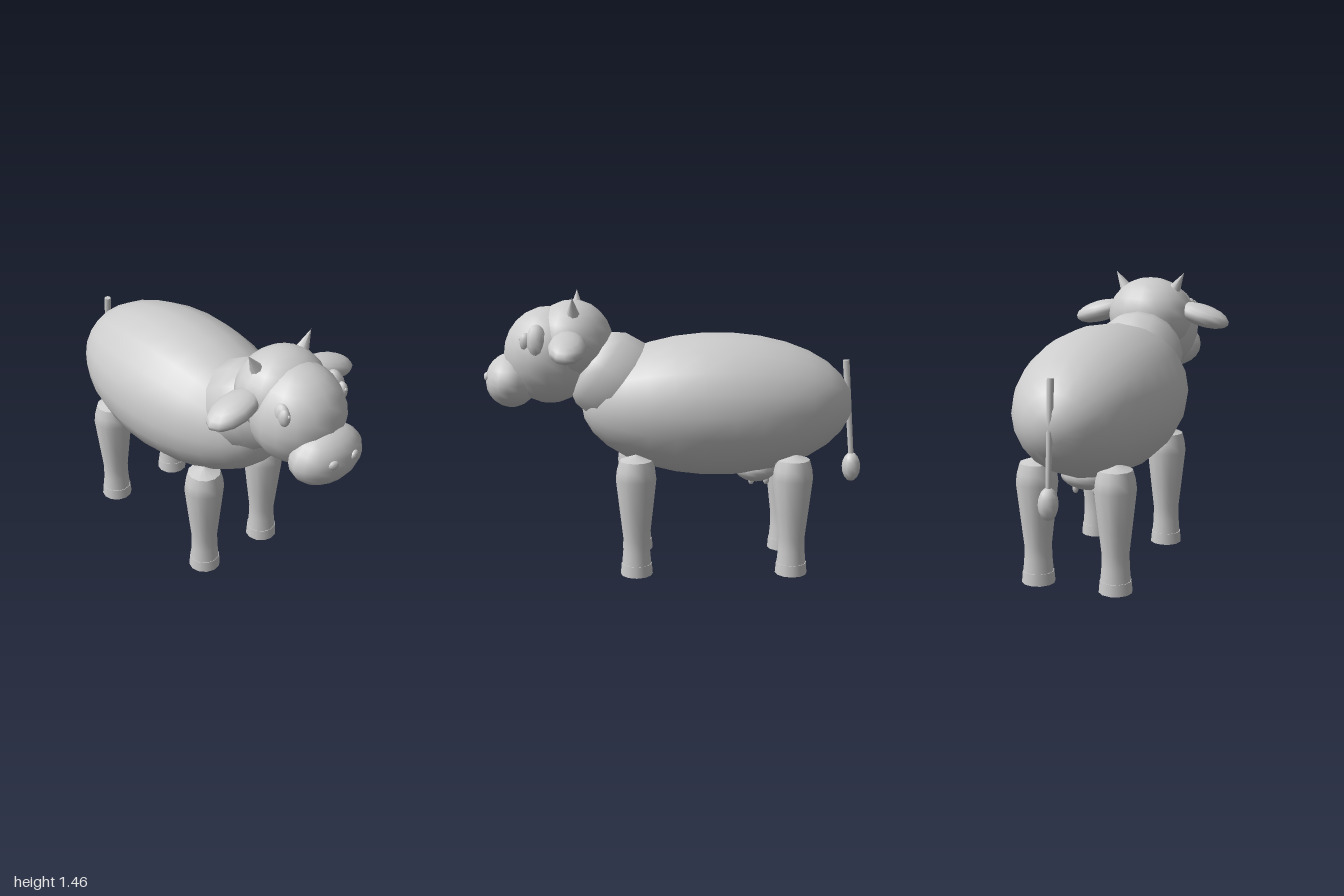
import * as THREE from 'three';

export function createModel() {
  const model = new THREE.Group();
  const clay = new THREE.MeshStandardMaterial({ color: 0xcccccc });
  clay.name = 'plain grey';

  function add(name, geometry, position, rotation = [0, 0, 0]) {
    const mesh = new THREE.Mesh(geometry, clay);
    mesh.name = name;
    mesh.position.set(...position);
    mesh.rotation.set(...rotation);
    model.add(mesh);
    return mesh;
  }

  function ellipsoid(name, position, radii, rotation, segments = 14) {
    const geometry = new THREE.SphereGeometry(1, segments, Math.round(segments * 0.75));
    const mesh = add(name, geometry, position, rotation);
    mesh.scale.set(...radii);
    return mesh;
  }

  function lathe(points, segments) {
    return new THREE.LatheGeometry(points.map(p => new THREE.Vector2(...p)), segments);
  }

  // Barrel body, with its poles at chest and rump
  ellipsoid('body', [0, 0.88, -0.22], [0.4, 0.72, 0.38], [Math.PI / 2, 0, 0], 20);

  // Neck, leaning forward and up into the head
  const neckProfile = [[0.22, -0.18], [0.245, 0], [0.232, 0.12], [0.195, 0.18], [0.12, 0.24]];
  add('neck', lathe(neckProfile, 14), [0, 1.0, 0.297], [0.95, 0, 0]);

  // Head
  ellipsoid('cranium', [0, 1.22, 0.54], [0.24, 0.212, 0.21], undefined, 16);
  ellipsoid('face', [0, 1.145, 0.66], [0.24, 0.255, 0.242], undefined, 16);
  ellipsoid('muzzle', [0, 1.012, 0.862], [0.207, 0.143, 0.138], undefined, 16);

  // The lids differ a little from side to side
  ellipsoid('leftEyelid', [0.19, 1.245, 0.71], [0.05, 0.085, 0.052], [0, 0, 0.2], 10);
  ellipsoid('rightEyelid', [-0.175, 1.245, 0.735], [0.034, 0.055, 0.05], [0, 0, 0], 10);

  for (const side of [1, -1]) {
    const label = side > 0 ? 'left' : 'right';
    ellipsoid(label + 'Eye', [side * 0.185, 1.24, 0.765], [0.028, 0.047, 0.032], undefined, 10);
    ellipsoid(label + 'Pupil', [side * 0.183, 1.255, 0.79], [0.009, 0.011, 0.01], undefined, 8);
    ellipsoid(label + 'Nostril', [side * 0.068, 1.04, 0.985], [0.028, 0.024, 0.016],
      [0, side * 0.25, 0], 10);
    ellipsoid(label + 'Ear', [side * 0.305, 1.228, 0.547], [0.157, 0.06, 0.096],
      [0, 0, -side * 0.28], 12);
    add(label + 'Horn', new THREE.ConeGeometry(0.036, 0.11, 8),
      [side * 0.172, 1.417, 0.525], [0, 0, -side * 0.53]);
  }

  // Legs with hooves and shallow shoulder caps
  const legProfile = [[0.077, 0.06], [0.071, 0.13], [0.07, 0.2], [0.086, 0.34],
    [0.106, 0.52], [0.1, 0.57], [0.086, 0.622]];
  for (const [end, z] of [['front', 0.21], ['rear', -0.61]]) {
    for (const side of [1, -1]) {
      const x = side * 0.207;
      add(end + 'Leg', lathe(legProfile, 12), [x, 0, z]);
      add(end + 'LegCap', new THREE.ConeGeometry(0.086, 0.03, 12), [x, 0.637, z]);
      add(end + 'Hoof', new THREE.CylinderGeometry(0.08, 0.085, 0.06, 12), [x, 0.03, z]);
    }
  }

  // Udder and teats
  ellipsoid('udder', [0, 0.535, -0.43], [0.15, 0.08, 0.12]);
  for (const x of [-0.053, 0.053]) {
    for (const z of [-0.405, -0.485]) {
      ellipsoid('teat', [x, 0.47, z], [0.017, 0.027, 0.017], undefined, 8);
    }
  }

  // Tail and its tuft
  add('tail', new THREE.CylinderGeometry(0.018, 0.014, 0.53, 8), [0, 0.845, -0.926], [0.085, 0, 0]);
  ellipsoid('tailTuft', [0, 0.525, -0.95], [0.05, 0.08, 0.05], undefined, 10);

  return model;
}
